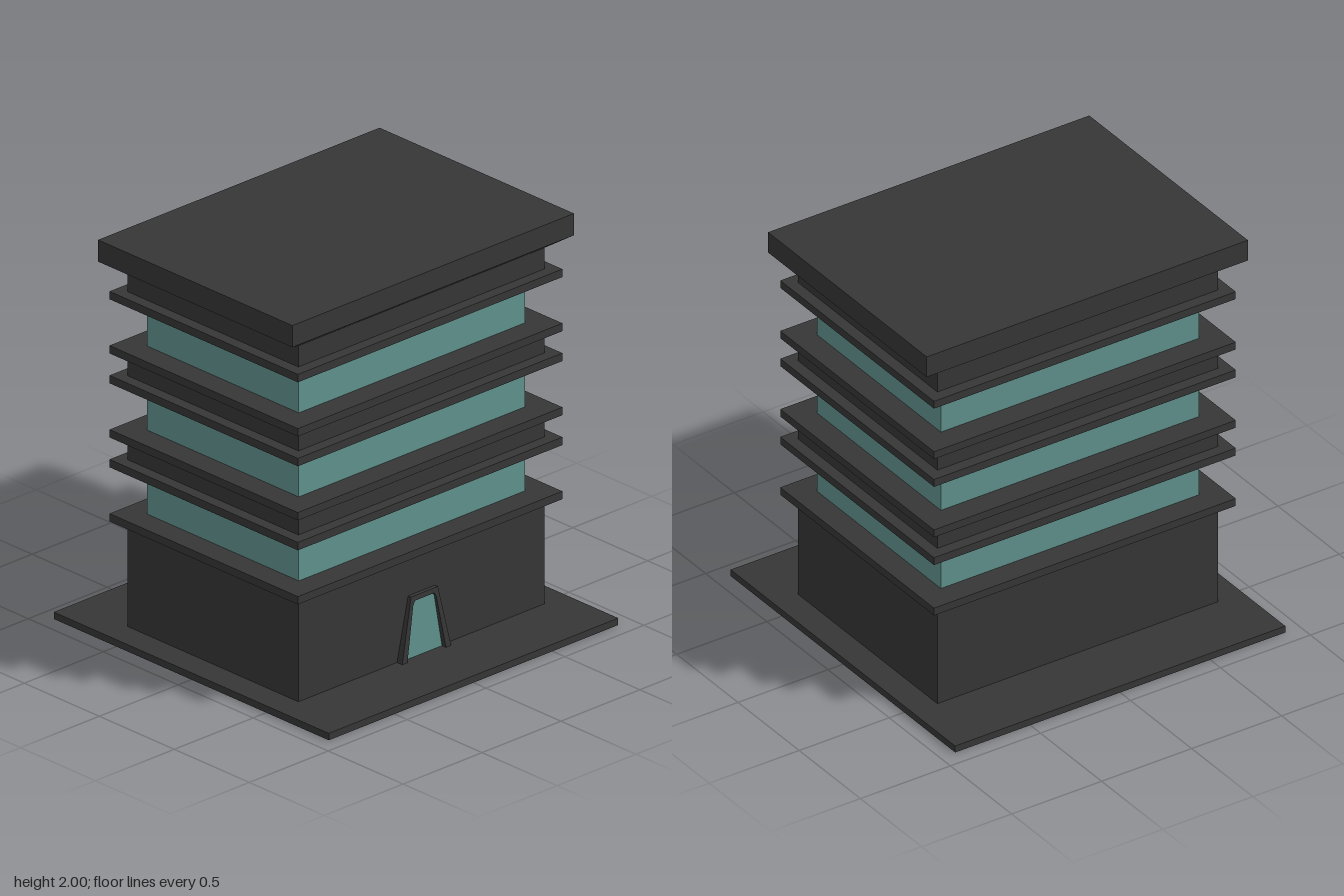
import * as THREE from 'three';

export function createModel() {
  const model = new THREE.Group();
  const concrete = new THREE.MeshStandardMaterial({ color: 0x363636 });
  concrete.name = 'dark concrete';
  const glass = new THREE.MeshStandardMaterial({ color: 0x60928e });
  glass.name = 'teal glass';

  const add = (name, geometry, material) => {
    const mesh = new THREE.Mesh(geometry, material);
    mesh.name = name;
    model.add(mesh);
    return mesh;
  };
  // Box given by half width, half depth and its bottom and top heights
  const slab = (name, hx, hz, y0, y1, material = concrete) =>
    add(name, new THREE.BoxGeometry(hx * 2, y1 - y0, hz * 2).translate(0, (y0 + y1) / 2, 0), material);

  // Ground plate and ground floor
  slab('groundPlate', 0.917, 0.917, 0, 0.035);
  slab('groundFloor', 0.78, 0.57, 0.035, 0.565);

  // Three storeys: sill ledge, window band, lintel ledge, wall band
  for (let i = 0; i < 3; i++) {
    const y = 0.565 + i * 0.425;
    slab('sillLedge', 0.838, 0.628, y, y + 0.04);
    slab('windowBand', 0.717, 0.506, y + 0.04, y + 0.274, glass);
    slab('lintelLedge', 0.838, 0.628, y + 0.274, y + 0.314);
    slab('wallBand', 0.78, 0.57, y + 0.314, i < 2 ? y + 0.425 : 1.836);
  }

  // Roof cap with a flared underside
  slab('roofCap', 0.892, 0.648, 1.89, 2);
  const flare = new THREE.BoxGeometry(2, 0.054, 2).translate(0, 1.863, 0);
  const fp = flare.attributes.position;
  for (let i = 0; i < fp.count; i++) {
    const top = fp.getY(i) > 1.863;
    fp.setX(i, fp.getX(i) * (top ? 0.892 : 0.78));
    fp.setZ(i, fp.getZ(i) * (top ? 0.648 : 0.57));
  }
  flare.computeVertexNormals();
  add('roofFlare', flare, concrete);

  // Tapered door surround, its front face leaning back
  const shapeFrom = pts => new THREE.Shape(pts.map(p => new THREE.Vector2(...p)));
  const opening = [[0.122, 0.035], [0.073, 0.305], [0.06, 0.325], [-0.06, 0.325], [-0.073, 0.305], [-0.122, 0.035]];
  const surround = new THREE.ExtrudeGeometry(
    shapeFrom([[0.155, 0.035], [0.085, 0.35], [-0.085, 0.35], [-0.155, 0.035], ...[...opening].reverse()]),
    { depth: 0.035, bevelEnabled: false }).translate(0, 0, 0.57);
  const sp = surround.attributes.position;
  for (let i = 0; i < sp.count; i++) {
    if (sp.getZ(i) > 0.59) sp.setZ(i, 0.605 - 0.015 * (sp.getY(i) - 0.035) / 0.315);
  }
  surround.computeVertexNormals();
  add('doorSurround', surround, concrete);

  // Glass door
  add('doorGlass', new THREE.ExtrudeGeometry(shapeFrom(opening), { depth: 0.008, bevelEnabled: false })
    .translate(0, 0, 0.57), glass);

  return model;
}
